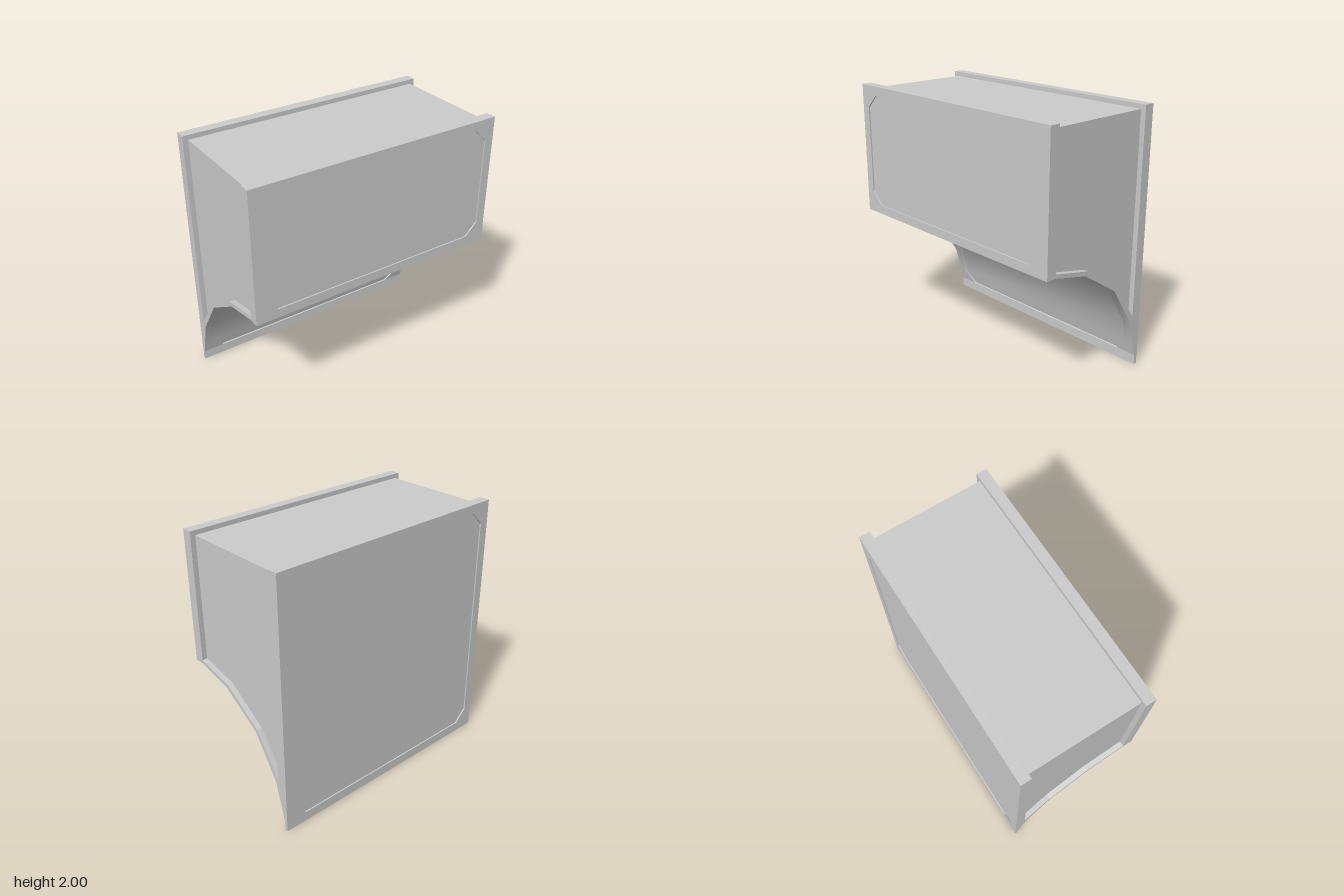
import * as THREE from 'three';

const DEPTH = 0.01; // how far the panels sit below their rims
const LIP = [[0.425, 1.01], [0.11, 0.94], [-0.21, 0.72], [-0.425, 0.42]]; // (z, y)
const CURVE = [[0.425, 0.98], [0.13, 0.91], [-0.19, 0.7], [-0.4, 0.38], [-0.48, 0.075]];

const solid = new THREE.MeshStandardMaterial({ color: 0xcccccc });
const thin = new THREE.MeshStandardMaterial({ color: 0xcccccc, side: THREE.DoubleSide });

const shapeOf = (pts) => new THREE.Shape(pts.map(([a, b]) => new THREE.Vector2(a, b)));

// Rectangle with cut corners
function octagon(x, y0, y1, c = 0.1) {
  return [[-x + c, y0], [x - c, y0], [x, y0 + c], [x, y1 - c],
    [x - c, y1], [-x + c, y1], [-x, y1 - c], [-x, y0 + c]];
}

// Surface between two polylines, smooth along its length
function ribbon(a, b) {
  const pos = [], index = [];
  a.forEach((p, i) => {
    pos.push(...p, ...b[i]);
    if (i) {
      const k = 2 * i;
      index.push(k - 2, k - 1, k, k, k - 1, k + 1);
    }
  });
  const g = new THREE.BufferGeometry();
  g.setAttribute('position', new THREE.Float32BufferAttribute(pos, 3));
  g.setIndex(index);
  g.computeVertexNormals();
  return g;
}

export function createModel() {
  const model = new THREE.Group();
  function add(parent, name, geometry, material = solid) {
    const mesh = new THREE.Mesh(geometry, material);
    mesh.name = name;
    parent.add(mesh);
    return mesh;
  }

  // Front and back frames with recessed cut-corner panels
  function frame(name, yBottom, z0, z1, panelZ, holeBottom) {
    const hole = octagon(0.93, holeBottom, 1.93);
    const rim = shapeOf([[-1, yBottom], [1, yBottom], [1, 2], [-1, 2]]);
    rim.holes.push(shapeOf(hole));
    const g = new THREE.ExtrudeGeometry(rim, { depth: z1 - z0, bevelEnabled: false });
    add(model, name + 'Frame', g.translate(0, 0, z0));
    add(model, name + 'Panel', new THREE.ShapeGeometry(shapeOf(hole)).translate(0, 0, panelZ), thin);
  }
  frame('front', 0.98, 0.425, 0.505, 0.505 - DEPTH, 1.05);
  frame('back', 0, -0.505, -0.48, -0.505 + DEPTH, 0.075);

  // Thick part of the back frame, above the curve
  add(model, 'backFlange', new THREE.BoxGeometry(2, 1.6, 0.055)).position.set(0, 1.2, -0.4525);

  // Inset body between the frames
  const core = shapeOf([[0.43, 1.965], ...LIP, [-0.43, 0.42], [-0.43, 1.965]]);
  const coreGeo = new THREE.ExtrudeGeometry(core, { depth: 1.92, bevelEnabled: false });
  add(model, 'body', coreGeo.rotateY(-Math.PI / 2).translate(0.96, 0, 0));

  // Curved underside: stations hold position, inward normal and panel half-width
  const tangents = CURVE.slice(1).map(([z, y], i) =>
    new THREE.Vector2(z - CURVE[i][0], y - CURVE[i][1]).normalize());
  const last = CURVE.length - 1;
  const stations = [];
  CURVE.forEach(([z, y], i) => {
    const t0 = tangents[Math.max(i - 1, 0)], t1 = tangents[Math.min(i, last - 1)];
    const t = t0.clone().add(t1).normalize();
    const end = i === 0 || i === last;
    const s = { z, y, n: [t.y, -t.x], w: end ? 0.83 : 0.93 };
    if (end) {
      // extra station where the corner cut ends
      const d = i === 0 ? 0.1 : -0.1;
      const cut = { z: z + t.x * d, y: y + t.y * d, n: s.n, w: 0.93 };
      stations.push(...(i === 0 ? [s, cut] : [cut, s]));
    } else stations.push(s);
  });
  const line = (xOf, depth) => stations.map((s) =>
    [xOf(s), s.y + s.n[1] * depth, s.z + s.n[0] * depth]);

  const underside = new THREE.Group();
  underside.name = 'curvedUnderside';
  model.add(underside);
  const inner = (side, depth) => line((s) => side * s.w, depth);
  add(underside, 'curvedPanel', ribbon(inner(-1, DEPTH), inner(1, DEPTH)), thin);

  for (const side of [-1, 1]) {
    add(underside, 'curvedRim', ribbon(inner(side, 0), line(() => side, 0)), thin);
    add(underside, 'panelEdge', ribbon(inner(side, 0), inner(side, DEPTH)), thin);

    // Side lip that follows the curve
    const cheek = shapeOf([...CURVE, [-0.48, 0.4], [-0.425, 0.4], ...[...LIP].reverse()]);
    add(model, 'lipSide', new THREE.ShapeGeometry(cheek).rotateY(-Math.PI / 2).translate(side, 0, 0), thin);
    const at = (x) => LIP.map(([z, y]) => [x, y, z]);
    const lipTop = ribbon(at(side * 0.95), at(side)).toNonIndexed();
    lipTop.computeVertexNormals();
    add(model, 'lipTop', lipTop, thin);
  }

  // Short walls closing both ends of the curved panel
  for (const i of [0, stations.length - 1]) {
    const ends = (depth) => [inner(-1, depth)[i], inner(1, depth)[i]];
    add(underside, 'panelEndEdge', ribbon(ends(0), ends(DEPTH)), thin);
  }
  return model;
}
